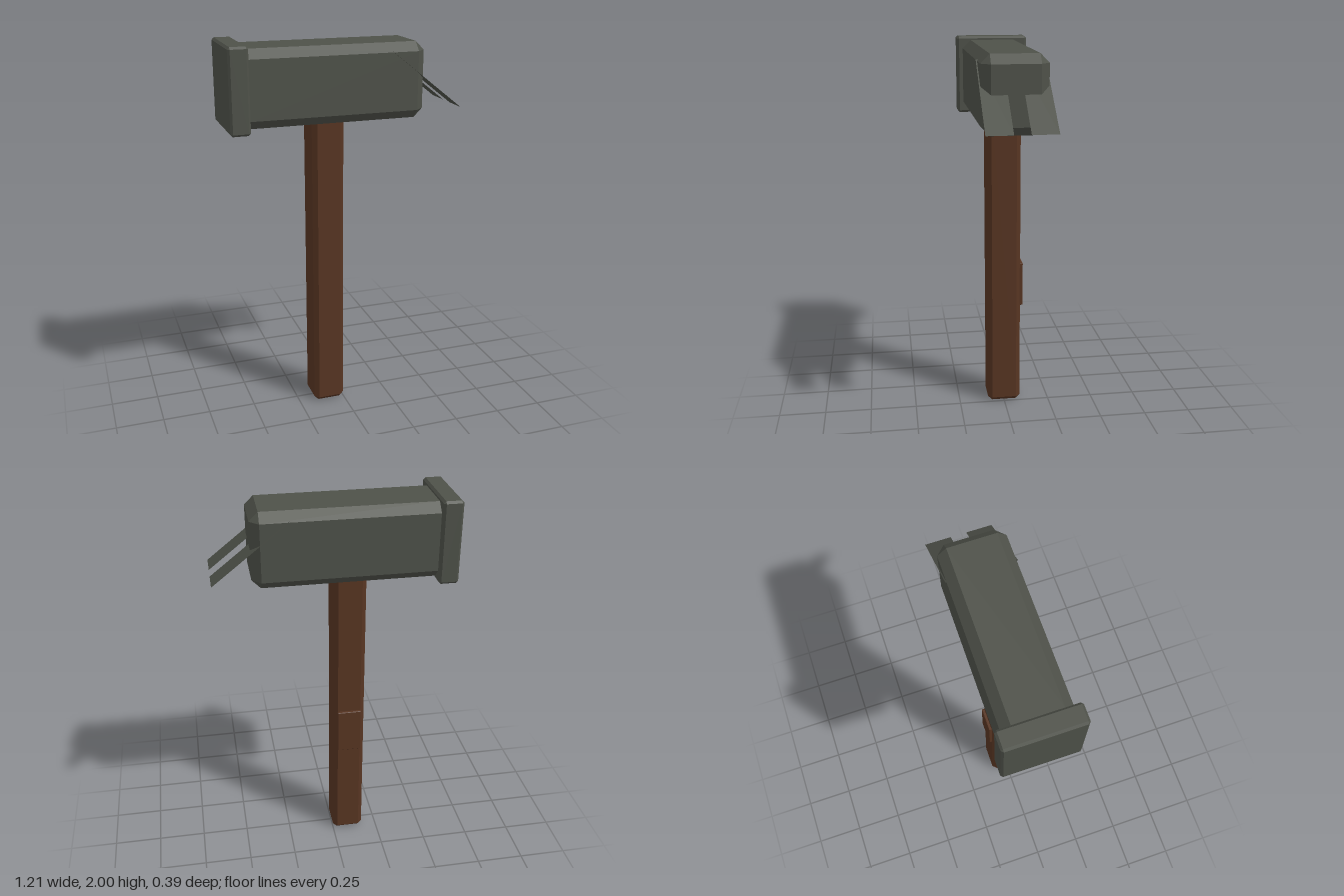
import * as THREE from 'three';
import { ConvexGeometry } from 'three/addons/geometries/ConvexGeometry.js';

// Box between two corners with every edge cut at 45 degrees
function chamferBox([x0, y0, z0], [x1, y1, z1], c) {
  const center = new THREE.Vector3((x0 + x1) / 2, (y0 + y1) / 2, (z0 + z1) / 2);
  const half = new THREE.Vector3((x1 - x0) / 2, (y1 - y0) / 2, (z1 - z0) / 2);
  const points = [];
  for (const sx of [-1, 1]) for (const sy of [-1, 1]) for (const sz of [-1, 1]) {
    for (const axis of ['x', 'y', 'z']) {
      // Each corner becomes three points, one on each neighbouring face
      const p = half.clone().subScalar(c);
      p[axis] += c;
      points.push(p.multiply(new THREE.Vector3(sx, sy, sz)).add(center));
    }
  }
  return new ConvexGeometry(points);
}

export function createModel() {
  const model = new THREE.Group();
  model.name = 'clawHammer';

  const metal = new THREE.MeshStandardMaterial({ color: 0x4e5149 });
  metal.name = 'dark metal';
  metal.flatShading = true;
  metal.side = THREE.DoubleSide;
  const wood = new THREE.MeshStandardMaterial({ color: 0x573522 });
  wood.name = 'brown wood';
  wood.flatShading = true;

  const add = (name, geometry, material) => {
    const mesh = new THREE.Mesh(geometry, material);
    mesh.name = name;
    model.add(mesh);
    return mesh;
  };

  // Handle with a small raised panel on its back
  add('handle', chamferBox([-0.168, 0.005, -0.09], [0, 1.66, 0.09], 0.023), wood);
  add('handlePanel', chamferBox([-0.147, 0.575, -0.105], [-0.021, 0.82, -0.085], 0.003), wood);

  // Head and the wider striking plate
  add('head', chamferBox([-0.55, 1.595, -0.164], [0.408, 1.98, 0.164], 0.045), metal);
  add('strikingPlate', chamferBox([-0.605, 1.578, -0.195], [-0.505, 2, 0.195], 0.011), metal);

  // Two flat claws sloping down out of the head
  const run = 0.38, drop = 0.3;
  for (const side of [-1, 1]) {
    const geometry = new THREE.PlaneGeometry(Math.hypot(run, drop), 0.13);
    geometry.rotateX(-Math.PI / 2);
    const claw = add(side > 0 ? 'frontClaw' : 'backClaw', geometry, metal);
    claw.rotation.z = -Math.atan2(drop, run);
    claw.position.set(0.413, 1.79, side * 0.105);
  }
  return model;
}
